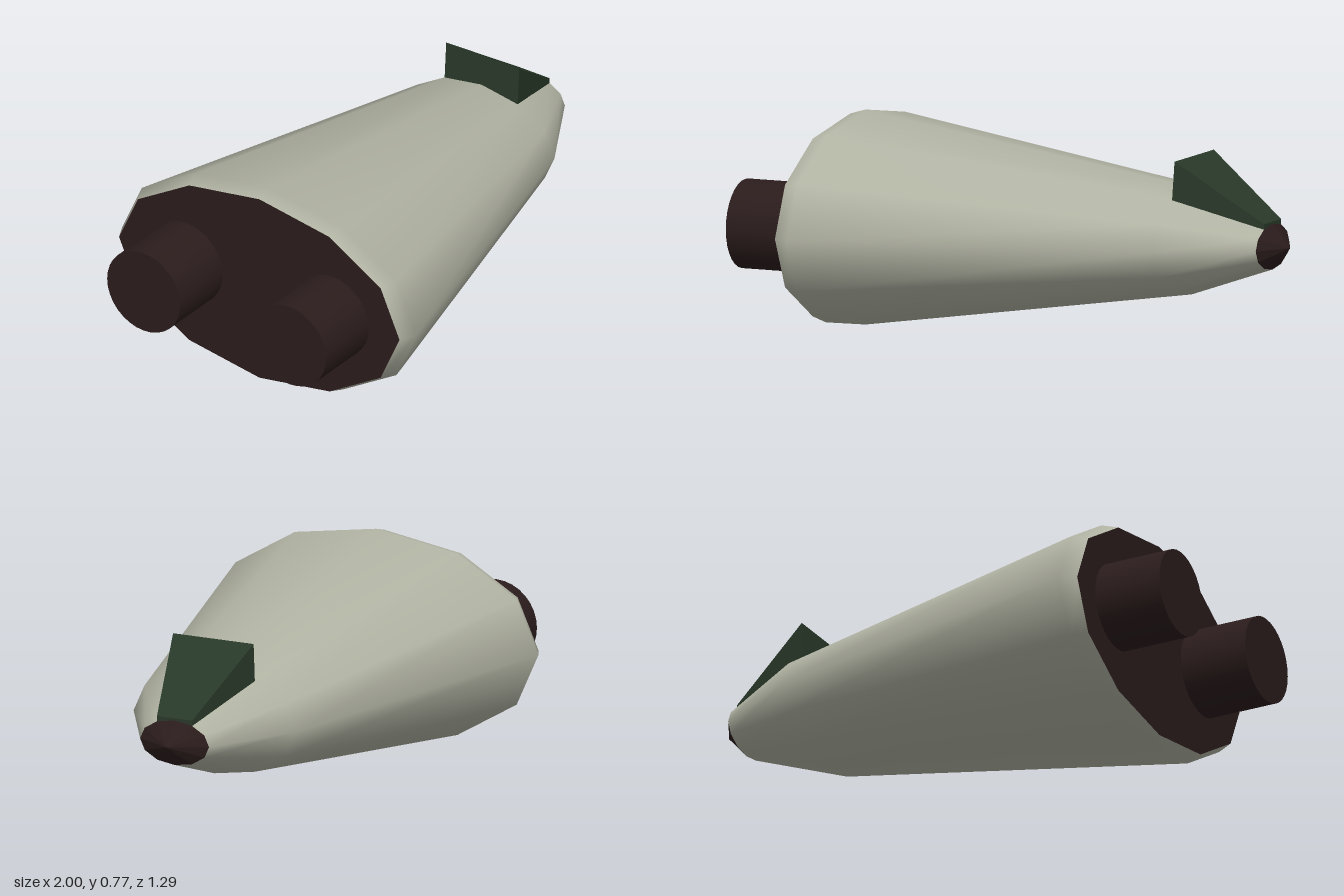
import * as THREE from 'three';

const CY = 0.39;      // height of the long axis
const FLATTEN = 0.6;  // hull height relative to its width

// Twelve-sided flattened lathe along +x; profile is [radius, x] from tail to nose
function hullPart(name, profile, material) {
  const geo = new THREE.LatheGeometry(profile.map(([r, x]) => new THREE.Vector2(r, x)), 12);
  geo.rotateZ(-Math.PI / 2);
  geo.scale(1, FLATTEN, 1);
  geo.translate(0, CY, 0);
  const mesh = new THREE.Mesh(geo, material);
  mesh.name = name;
  return mesh;
}

// Wedge-shaped canopy: a box whose corners are moved to the slanted outline
function canopyGeometry() {
  const geo = new THREE.BoxGeometry(1, 1, 1).toNonIndexed();
  const p = geo.attributes.position;
  for (let i = 0; i < p.count; i++) {
    const front = p.getX(i) > 0, top = p.getY(i) > 0, side = Math.sign(p.getZ(i));
    if (front) p.setXYZ(i, 0.93, top ? 0.48 : 0.46, side * 0.07);
    else p.setXYZ(i, top ? 0.62 : 0.61, top ? 0.697 : 0.555, side * 0.16);
  }
  geo.computeVertexNormals();
  return geo;
}

export function createModel() {
  const model = new THREE.Group();
  const hullMat = new THREE.MeshStandardMaterial({ color: 0xb0b2a2 });
  const darkMat = new THREE.MeshStandardMaterial({ color: 0x2b1c1c });
  const darkFlat = new THREE.MeshStandardMaterial({ color: 0x2b1c1c, flatShading: true });
  const greenMat = new THREE.MeshStandardMaterial({ color: 0x283828, flatShading: true });

  // Hull with a bevelled tail rim and a tapered nose
  model.add(hullPart('hull', [[0.615, -0.74], [0.645, -0.68], [0.322, 0.61], [0.137, 0.93]], hullMat));
  model.add(hullPart('tailPlate', [[0, -0.74], [0.615, -0.74]], darkFlat));
  model.add(hullPart('noseCone', [[0.137, 0.93], [0, 1]], darkFlat));

  // Canopy
  const canopy = new THREE.Mesh(canopyGeometry(), greenMat);
  canopy.name = 'canopy';
  model.add(canopy);

  // Pair of engines
  for (const side of [1, -1]) {
    const engine = new THREE.Mesh(new THREE.CylinderGeometry(0.16, 0.16, 0.28, 32), darkMat);
    engine.name = side > 0 ? 'engineFrontSide' : 'engineBackSide';
    engine.rotation.z = -Math.PI / 2;
    engine.position.set(-0.86, CY, side * 0.32);
    model.add(engine);
  }
  return model;
}
